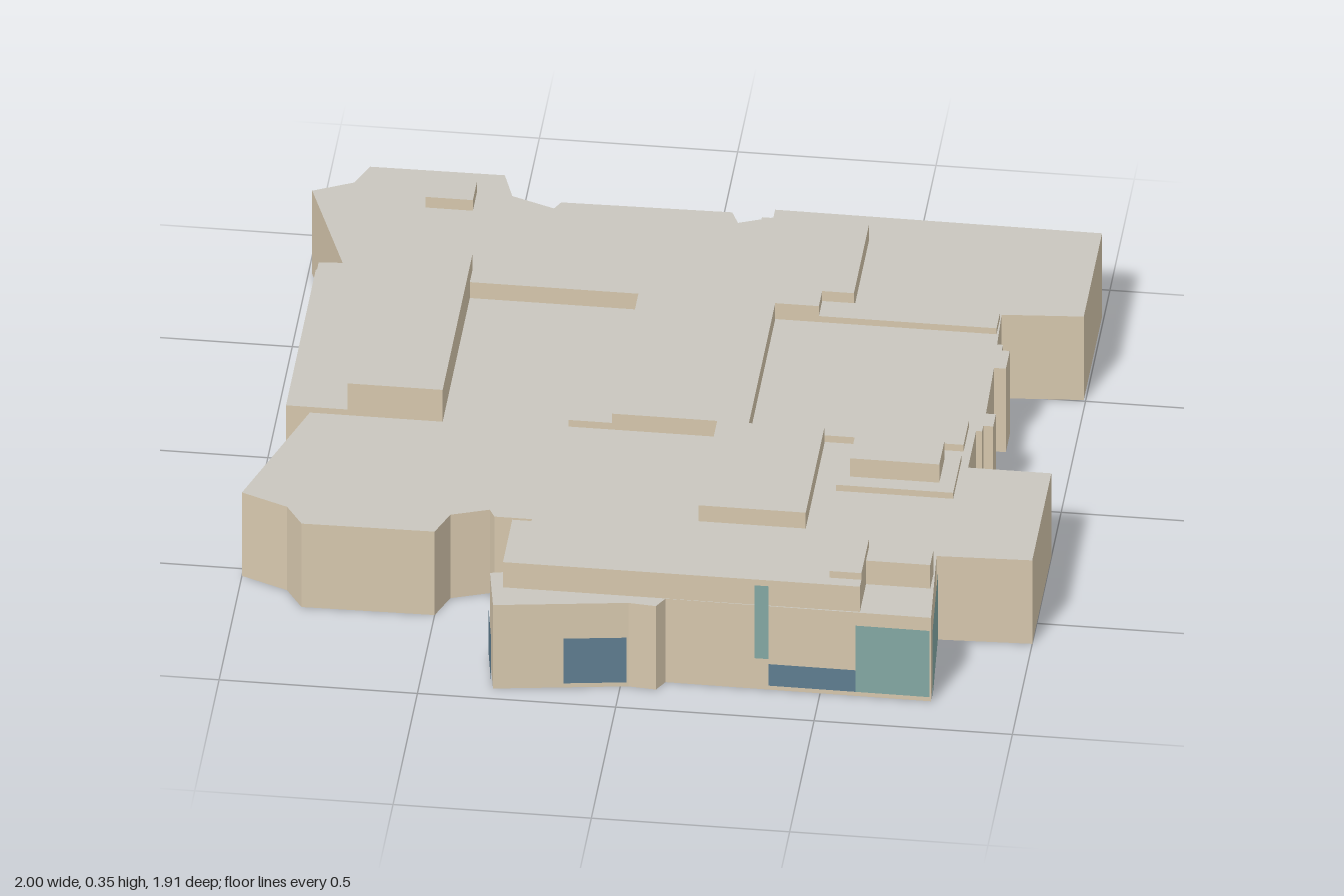
import * as THREE from 'three';

const mat = (name, color, side = THREE.FrontSide) => {
  const m = new THREE.MeshStandardMaterial({ color, side });
  m.name = name;
  return m;
};

export function createModel() {
  const model = new THREE.Group();
  model.name = 'building';
  const wall = mat('tan wall', 0xd6c7ad, THREE.DoubleSide);
  const roof = mat('grey roof', 0xc9c6be, THREE.DoubleSide);
  const teal = mat('teal glass', 0x83a8a4);
  const blue = mat('blue glass', 0x5f7d90);

  const add = (name, geo, material) => {
    const mesh = new THREE.Mesh(geo, material);
    mesh.name = name;
    model.add(mesh);
    return mesh;
  };

  // Shell open below: walls around a clockwise [x, z] outline, with a flat roof on top
  const shell = (name, plan, y0, y1) => {
    const pos = [];
    plan.forEach(([ax, az], i) => {
      const [bx, bz] = plan[(i + 1) % plan.length];
      pos.push(ax, y0, az, ax, y1, az, bx, y1, bz, ax, y0, az, bx, y1, bz, bx, y0, bz);
    });
    const sides = new THREE.BufferGeometry();
    sides.setAttribute('position', new THREE.Float32BufferAttribute(pos, 3));
    sides.computeVertexNormals();
    add(name + 'Walls', sides, wall);
    const top = new THREE.ShapeGeometry(new THREE.Shape(plan.map(([x, z]) => new THREE.Vector2(x, -z))));
    top.rotateX(-Math.PI / 2).translate(0, y1, 0);
    add(name + 'Top', top, roof);
  };
  const block = (name, x0, x1, z0, z1, y0, y1) =>
    shell(name, [[x0, z0], [x1, z0], [x1, z1], [x0, z1]], y0, y1);

  // Glass face just outside a wall line; a to b runs left to right seen from outside
  const pane = (name, material, [ax, az], [bx, bz], y0, y1) => {
    const geo = new THREE.PlaneGeometry(Math.hypot(bx - ax, bz - az), y1 - y0).translate(0, 0, 0.004);
    const mesh = add(name, geo, material);
    mesh.position.set((ax + bx) / 2, (y0 + y1) / 2, (az + bz) / 2);
    mesh.rotation.y = -Math.atan2(bz - az, bx - ax);
  };

  // Wedge canopy sloping down and outward; a to b runs right to left seen from outside
  const canopy = (name, material, [ax, az], [bx, bz], depth, yLow, yHigh) => {
    const shape = new THREE.Shape([
      new THREE.Vector2(0, 0), new THREE.Vector2(depth, 0),
      new THREE.Vector2(depth, 0.004), new THREE.Vector2(0, yHigh - yLow),
    ]);
    const geo = new THREE.ExtrudeGeometry(shape, { depth: Math.hypot(bx - ax, bz - az), bevelEnabled: false });
    const mesh = add(name, geo, material);
    mesh.position.set(ax, yLow, az);
    mesh.rotation.y = Math.atan2(bx - ax, bz - az);
  };

  // Main storey
  const H = 0.252;
  shell('mainStorey', [
    [-0.99, -0.828], [-0.89, -0.877], [-0.86, -0.952], [-0.52, -0.955], [-0.49, -0.865],
    [-0.38, -0.823], [-0.365, -0.852], [0.065, -0.86], [0.085, -0.815], [0.17, -0.85],
    [0.17, -0.885], [0.995, -0.88], [0.995, -0.505], [0.79, -0.488], [0.795, -0.355],
    [0.81, -0.355], [0.81, -0.33], [0.83, -0.33], [0.83, -0.25], [0.8, -0.25],
    [0.805, -0.045], [0.83, -0.045], [0.83, 0.01], [0.805, 0.01], [0.805, 0.035],
    [0.79, 0.035], [0.79, 0.2], [1, 0.2], [1, 0.592], [0.76, 0.602], [0.78, 0.878],
    [0.11, 0.874], [0.09, 0.91], [0.02, 0.904], [-0.315, 0.955], [-0.34, 0.813],
    [-0.295, 0.803], [-0.305, 0.672], [-0.265, 0.657], [-0.265, 0.562], [-0.36, 0.562],
    [-0.375, 0.533], [-0.47, 0.567], [-0.5, 0.647], [-0.835, 0.652], [-0.88, 0.582],
    [-1, 0.532], [-0.875, 0.157], [-0.935, 0.157], [-0.935, -0.512], [-0.875, -0.517],
  ], 0, H);

  // Raised central roof
  shell('centralRoof', [
    [-0.565, -0.468], [0.15, -0.468], [0.15, -0.777], [0.42, -0.777], [0.42, -0.468],
    [0.34, -0.468], [0.34, -0.4], [0.23, -0.4], [0.23, 0.14], [0.42, 0.14],
    [0.42, 0.52], [0.15, 0.52], [0.15, 0.14], [-0.115, 0.14], [-0.115, -0.4], [-0.565, -0.4],
  ], H, 0.3);

  // Roof blocks
  [
    ['frontParapet', -0.3, 0.6, 0.682, 0.873, H, 0.328],
    ['parapetCap', 0.52, 0.6, 0.682, 0.842, 0.328, 0.348],
    ['frontPlantBox', 0.6, 0.762, 0.682, 0.748, H, 0.323],
    ['hallRoof', -0.78, -0.54, -0.455, 0.157, H, 0.348],
    ['hallSideRoof', -0.935, -0.78, -0.455, 0.157, H, 0.269],
    ['courtyardStep', -0.225, -0.115, -0.24, 0.14, H, 0.272],
    ['sideStrip', 0.34, 0.788, -0.468, -0.4, H, 0.27],
    ['lowRoofBox', 0.34, 0.77, 0.022, 0.13, H, 0.272],
    ['plantBase', 0.475, 0.77, 0.172, 0.343, H, 0.27],
    ['plantBox', 0.505, 0.73, 0.2, 0.302, 0.27, 0.325],
    ['rearRoofBox', -0.7, -0.58, -0.87, -0.788, H, 0.284],
  ].forEach((b) => block(...b));

  // Front and corner glazing
  pane('cornerGlassFront', teal, [0.59, 0.877], [0.777, 0.878], 0.015, 0.215);
  pane('cornerGlassSide', teal, [0.78, 0.876], [0.761, 0.612], 0.015, 0.215);
  pane('tallGlass', teal, [0.335, 0.876], [0.37, 0.876], 0.095, 0.315);
  pane('frontLowWindow', blue, [0.37, 0.876], [0.59, 0.877], 0.015, 0.08);
  pane('frontWindow', blue, [-0.14, 0.9285], [0.015, 0.905], 0.015, 0.15);
  pane('frontSideWindow', blue, [-0.338, 0.824], [-0.319, 0.935], 0.015, 0.15);

  // Rear glazing
  for (let i = 0; i < 8; i++) {
    const x = 0.945 - i * 0.105;
    pane('rearSlitWindow', blue, [x + 0.012, -0.883], [x - 0.012, -0.883], 0.095, 0.225);
  }
  pane('rearLowWindow', blue, [0.97, -0.88], [0.19, -0.885], 0.015, 0.075);
  pane('rearMiddleWindow', blue, [0.03, -0.859], [-0.35, -0.852], 0.015, 0.085);
  pane('rearDoor', blue, [-0.39, -0.827], [-0.48, -0.861], 0.015, 0.12);

  // Rear canopies
  canopy('rearCanopy', wall, [0.19, -0.885], [0.54, -0.882], 0.037, 0.09, 0.122);
  canopy('doorCanopy', teal, [-0.492, -0.866], [-0.385, -0.825], 0.06, 0.122, 0.16);

  return model;
}
